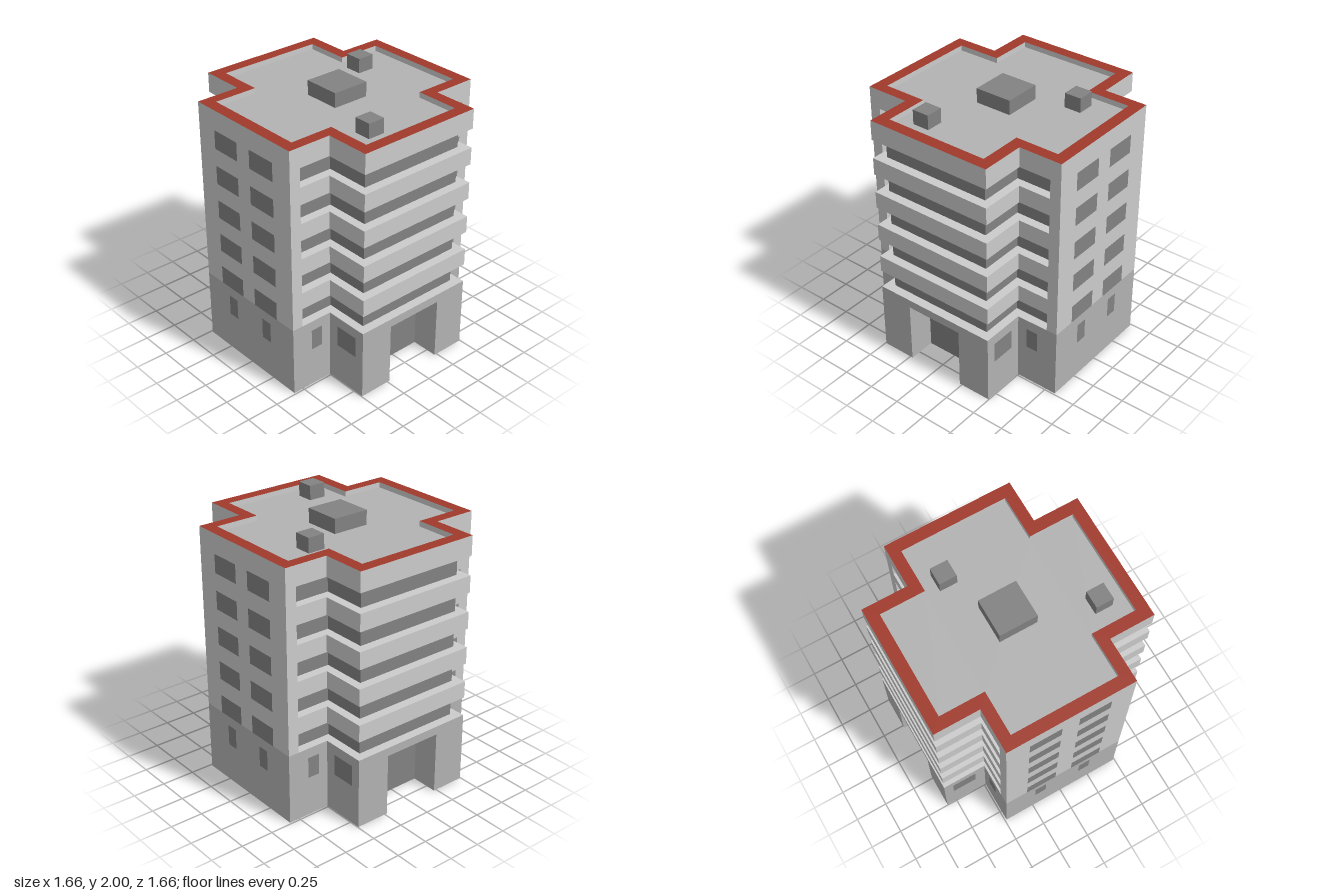
import * as THREE from 'three';

const mat = (color) => new THREE.MeshStandardMaterial({ color, side: THREE.DoubleSide });

export function createModel() {
  const light = mat(0xcccccc), mid = mat(0xb2b2b2), dark = mat(0x828282), red = mat(0xa03a2c);
  const model = new THREE.Group();
  model.name = 'apartmentBlock';

  const add = (parent, name, geometry, material) => {
    const mesh = new THREE.Mesh(geometry, material);
    mesh.name = name;
    parent.add(mesh);
    return mesh;
  };

  // Upright wall along a plan path of [x, z] points, outside on the right-hand side
  const wall = (parent, name, path, y0, y1, material) => {
    const pos = [];
    for (let i = 0; i + 1 < path.length; i++) {
      const [ax, az] = path[i], [bx, bz] = path[i + 1];
      pos.push(ax, y0, az, bx, y0, bz, bx, y1, bz, ax, y0, az, bx, y1, bz, ax, y1, az);
    }
    const g = new THREE.BufferGeometry();
    g.setAttribute('position', new THREE.Float32BufferAttribute(pos, 3));
    g.computeVertexNormals();
    return add(parent, name, g, material);
  };

  // Level surface from a plan outline, facing up or down
  const slab = (parent, name, outline, y, material, up = true, hole = null) => {
    const s = up ? -1 : 1;
    const pts = (o) => o.map(([x, z]) => new THREE.Vector2(x, z * s));
    const shape = new THREE.Shape(pts(outline));
    if (hole) shape.holes.push(new THREE.Path(pts(hole)));
    const g = new THREE.ShapeGeometry(shape);
    g.rotateX(up ? -Math.PI / 2 : Math.PI / 2);
    g.translate(0, y, 0);
    return add(parent, name, g, material);
  };

  // Window pane just proud of a wall; turn is the angle it faces about y
  const pane = (parent, name, x, y, z, w, h, turn) => {
    const m = add(parent, name, new THREE.PlaneGeometry(w, h), dark);
    m.position.set(x + Math.sin(turn) * 0.002, y, z + Math.cos(turn) * 0.002);
    m.rotation.y = turn;
  };

  // Cross-shaped plan: one half, the other is the same turned by 180 degrees
  const W = 0.83, A = 0.495, B = 0.487, TOP = 1.93, GROUND = 0.54, ROOF = 1.89;
  const half = [[-W, B], [-A, B], [-A, W], [A, W], [A, B], [W, B], [W, -B]];
  const cross = (w, a, b) => [
    [-w, b], [-a, b], [-a, w], [a, w], [a, b], [w, b],
    [w, -b], [a, -b], [a, -w], [-a, -w], [-a, -b], [-w, -b]];

  // Balcony recess: back wall line and the floor strip in front of it
  const RX = 0.745, RA = 0.43, RB = 0.42, RW = 0.76;
  const recess = [[-RX, RB], [-RA, RB], [-RA, RW], [RA, RW], [RA, RB], [RX, RB]];
  const strip = [[RX, B], [A, B], [A, W], [-A, W], [-A, B], [-RX, B], ...recess];

  // Entrance notch
  const DX = 0.23, DZ = 0.62, DH = 0.475;

  for (let side = 0; side < 2; side++) {
    const g = new THREE.Group();
    g.name = side ? 'backHalf' : 'frontHalf';
    g.rotation.y = side * Math.PI;
    model.add(g);

    // Ground floor with a deep entrance
    wall(g, 'groundWallLeft', [...half.slice(0, 3), [-DX, W], [-DX, DZ]], 0, DH, mid);
    wall(g, 'groundWallRight', [[DX, DZ], [DX, W], ...half.slice(3)], 0, DH, mid);
    wall(g, 'groundLintel', half, DH, GROUND, mid);
    wall(g, 'entranceDoor', [[-DX, DZ], [DX, DZ]], 0, DH, dark);
    slab(g, 'entranceCeiling', [[-DX, DZ], [DX, DZ], [DX, W], [-DX, W]], DH, mid, false);

    // Ground floor windows
    for (const s of [-1, 1]) {
      pane(g, 'narrowWindow', s * 0.618, 0.385, B, 0.095, 0.16, 0);
      pane(g, 'wideWindow', s * A, 0.385, 0.663, 0.19, 0.16, s * Math.PI / 2);
      pane(g, 'endWindow', W, 0.385, s * 0.19, 0.092, 0.16, Math.PI / 2);
    }

    // Five storeys: recessed balcony, then a parapet band
    for (let i = 0; i < 5; i++) {
      const y0 = GROUND + i * 0.274, y1 = y0 + 0.144, y2 = i < 4 ? y0 + 0.274 : TOP;
      wall(g, 'balconyBackWall', recess, y0, y1, dark);
      wall(g, 'endWallLeft', [[-W, B], [-RX, B], [-RX, RB]], y0, y1, light);
      wall(g, 'endWallRight', [[RX, RB], [RX, B], [W, B], [W, -B]], y0, y1, light);
      slab(g, 'balconyFloor', strip, y0, light);
      slab(g, 'balconySoffit', strip, y1, light, false);
      wall(g, 'balconyBand', half, y1, y2, light);
      for (const s of [-1, 1])
        pane(g, 'upperWindow', W, (y0 + y1) / 2, s * 0.189, 0.245, 0.142, Math.PI / 2);
    }
  }

  // Roof with coloured coping
  const inner = cross(0.74, 0.405, 0.402);
  slab(model, 'roofCoping', cross(W, A, B), TOP, red, true, inner);
  wall(model, 'parapetInside', [...inner, inner[0]].reverse(), ROOF, TOP, light);
  slab(model, 'roof', inner, ROOF, mid);

  // Rooftop units: x, z, width
  for (const [x, z, w] of [[0, 0, 0.287], [0.435, -0.243, 0.132], [-0.22, 0.571, 0.132]]) {
    const box = add(model, 'rooftopUnit', new THREE.BoxGeometry(w, 2 - ROOF, w), dark);
    box.position.set(x, (2 + ROOF) / 2, z);
  }
  return model;
}
